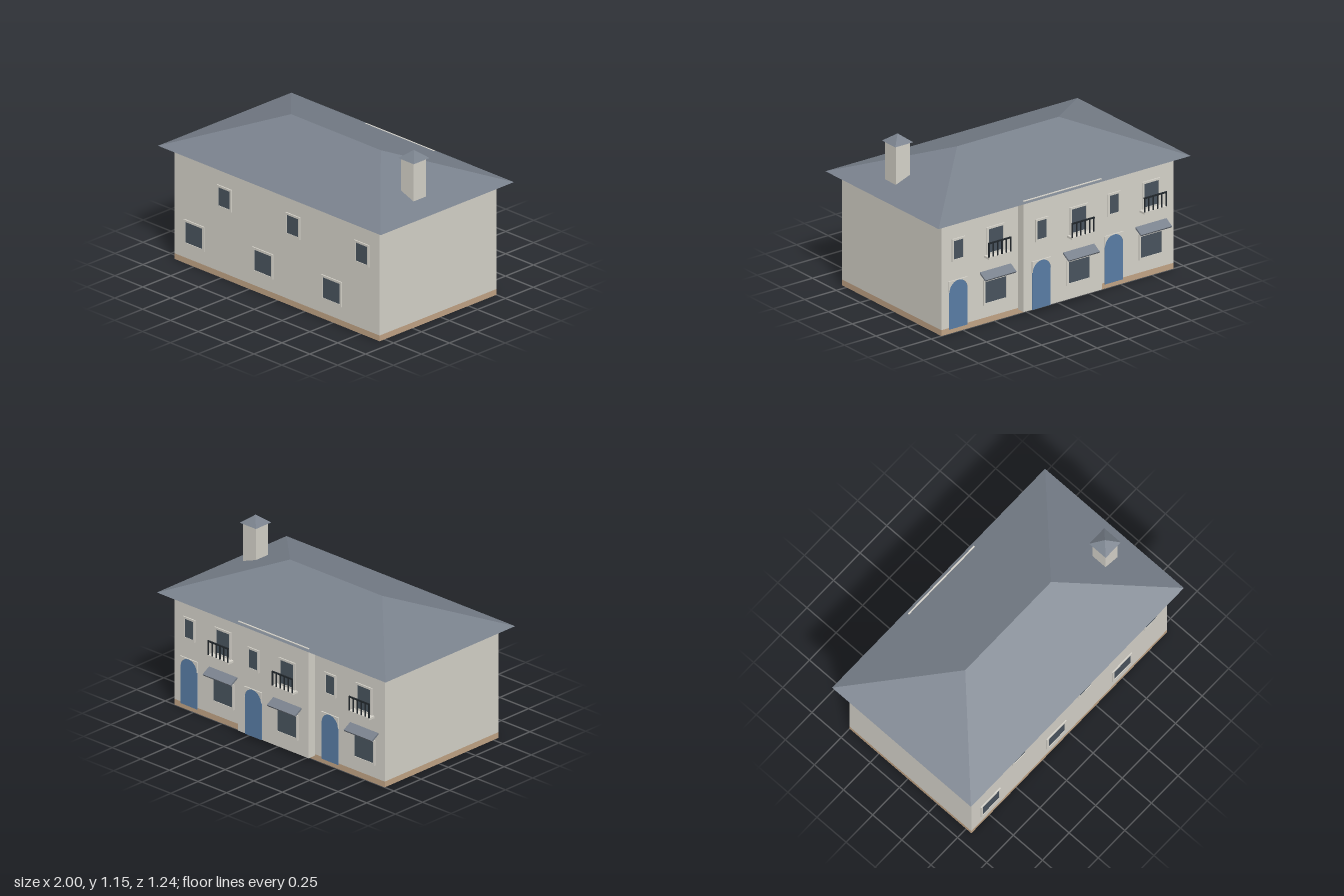
import * as THREE from 'three';
import { ConvexGeometry } from 'three/addons/geometries/ConvexGeometry.js';

const material = (name, color) => {
  const m = new THREE.MeshStandardMaterial({ color });
  m.name = name;
  return m;
};

export function createModel() {
  const wall = material('cream plaster', 0xd8d5cc);
  const slate = material('slate roof', 0x79818c);
  const glass = material('dark glass', 0x4a555f);
  const tan = material('tan plinth', 0xc4a687);
  const blue = material('blue door', 0x5a7fa8);
  const iron = material('black iron', 0x22282d);

  const house = new THREE.Group();
  house.name = 'terracedHouse';

  const add = (parent, name, geometry, mat) => {
    const mesh = new THREE.Mesh(geometry, mat);
    mesh.name = name;
    parent.add(mesh);
    return mesh;
  };
  // Box given by its extents on each axis
  const box = (parent, name, mat, [x0, x1], [y0, y1], [z0, z1]) => {
    const mesh = add(parent, name, new THREE.BoxGeometry(x1 - x0, y1 - y0, z1 - z0), mat);
    mesh.position.set((x0 + x1) / 2, (y0 + y1) / 2, (z0 + z1) / 2);
    return mesh;
  };
  // Hipped roof: rectangular eaves rising to a ridge (or a point)
  const hip = (parent, name, [x0, x1], [z0, z1], y0, y1, ridge, ridgeZ) => {
    const pts = [];
    for (const x of [x0, x1]) for (const z of [z0, z1]) pts.push(new THREE.Vector3(x, y0, z));
    const cx = (x0 + x1) / 2;
    pts.push(new THREE.Vector3(cx - ridge, y1, ridgeZ));
    if (ridge > 0) pts.push(new THREE.Vector3(cx + ridge, y1, ridgeZ));
    return add(parent, name, new ConvexGeometry(pts), slate);
  };
  const rect = (Type, x0, x1, y0, y1) => {
    const s = new Type();
    s.moveTo(x0, y0).lineTo(x1, y0).lineTo(x1, y1).lineTo(x0, y1).closePath();
    return s;
  };
  const plate = (shape, depth) =>
    new THREE.ExtrudeGeometry(shape, { depth, bevelEnabled: false, curveSegments: 16 });

  // Window in the local z = 0 plane: raised frame around a glass pane
  const addWindow = (parent, name, cx, w, y0, y1, border) => {
    const g = new THREE.Group();
    g.name = name;
    const h = w / 2;
    const frame = rect(THREE.Shape, cx - h - border, cx + h + border, y0 - border, y1 + border);
    frame.holes.push(rect(THREE.Path, cx - h, cx + h, y0, y1));
    add(g, 'windowFrame', plate(frame, 0.008), wall);
    box(g, 'windowPane', glass, [cx - h, cx + h], [y0, y1], [0, 0.004]);
    parent.add(g);
  };

  // Arched door with a thin surround filling the corners above the arch
  const addDoor = (parent, cx) => {
    const r = 0.072, spring = 0.285, top = spring + r;
    const door = new THREE.Shape();
    door.moveTo(cx - r, 0.03).lineTo(cx + r, 0.03).lineTo(cx + r, spring);
    door.absarc(cx, spring, r, 0, Math.PI, false);
    door.closePath();
    add(parent, 'archedDoor', plate(door, 0.005), blue);
    const corners = new THREE.Shape();
    corners.moveTo(cx + r, spring).lineTo(cx + r + 0.003, spring).lineTo(cx + r + 0.003, top + 0.003);
    corners.lineTo(cx - r - 0.003, top + 0.003).lineTo(cx - r - 0.003, spring).lineTo(cx - r, spring);
    corners.absarc(cx, spring, r, Math.PI, 0, true);
    add(parent, 'doorArchSurround', plate(corners, 0.008), wall);
  };

  // Balcony slab with a front railing
  const addBalcony = (parent, cx) => {
    const g = new THREE.Group();
    g.name = 'balcony';
    const h = 0.09, z = 0.048;
    box(g, 'balconySlab', wall, [cx - h, cx + h], [0.455, 0.469], [0, 0.051]);
    box(g, 'topRail', iron, [cx - h, cx + h], [0.56, 0.57], [z - 0.004, z + 0.004]);
    const bars = 6;
    for (let i = 0; i < bars; i++) {
      const x = cx - h + 0.004 + (i / (bars - 1)) * (2 * h - 0.008);
      box(g, 'railingBar', iron, [x - 0.004, x + 0.004], [0.469, 0.56], [z - 0.003, z + 0.003]);
    }
    parent.add(g);
  };

  // Sloping canopy over the ground floor window
  const addAwning = (parent, cx) => {
    const a = Math.atan2(0.035, 0.06);
    const mesh = add(parent, 'awning', new THREE.BoxGeometry(0.245, 0.012, 0.07), slate);
    mesh.position.set(cx, 0.339, 0.029);
    mesh.rotation.x = a;
  };

  // Main body
  const frontZ = 0.545, backZ = -0.5, bayZ = -0.558;
  box(house, 'plinth', tan, [-0.92, 0.92], [0, 0.04], [backZ, frontZ]);
  box(house, 'walls', wall, [-0.92, 0.92], [0.04, 0.78], [backZ, frontZ]);
  box(house, 'projectingBay', wall, [-0.31, 0.31], [0.03, 0.791], [bayZ, backZ]);

  // Roof and chimney
  hip(house, 'hippedRoof', [-1, 1], [-0.577, 0.615], 0.78, 1.0, 0.403, 0.02);
  box(house, 'chimney', wall, [0.743, 0.855], [0.83, 1.1], [0.065, 0.177]);
  hip(house, 'chimneyCap', [0.729, 0.871], [0.049, 0.191], 1.1, 1.155, 0, 0.12);

  // Three repeated units
  for (const cx of [-0.617, 0, 0.617]) {
    const front = new THREE.Group();
    front.name = 'frontWindows';
    front.position.set(cx, 0, frontZ);
    addWindow(front, 'lowerWindow', -0.125, 0.153, 0.148, 0.29, 0.015);
    addWindow(front, 'upperWindow', 0.145, 0.103, 0.496, 0.622, 0.014);
    house.add(front);

    const back = new THREE.Group();
    back.name = 'entranceFacade';
    back.position.set(cx, 0, cx === 0 ? bayZ : backZ);
    back.rotation.y = Math.PI;
    addDoor(back, -0.172);
    addWindow(back, 'smallWindow', -0.17, 0.073, 0.503, 0.63, 0.014);
    addWindow(back, 'lowerWindow', 0.125, 0.165, 0.14, 0.287, 0.014);
    addWindow(back, 'balconyDoor', 0.125, 0.115, 0.48, 0.642, 0.014);
    addBalcony(back, 0.125);
    addAwning(back, 0.125);
    house.add(back);
  }
  return house;
}
